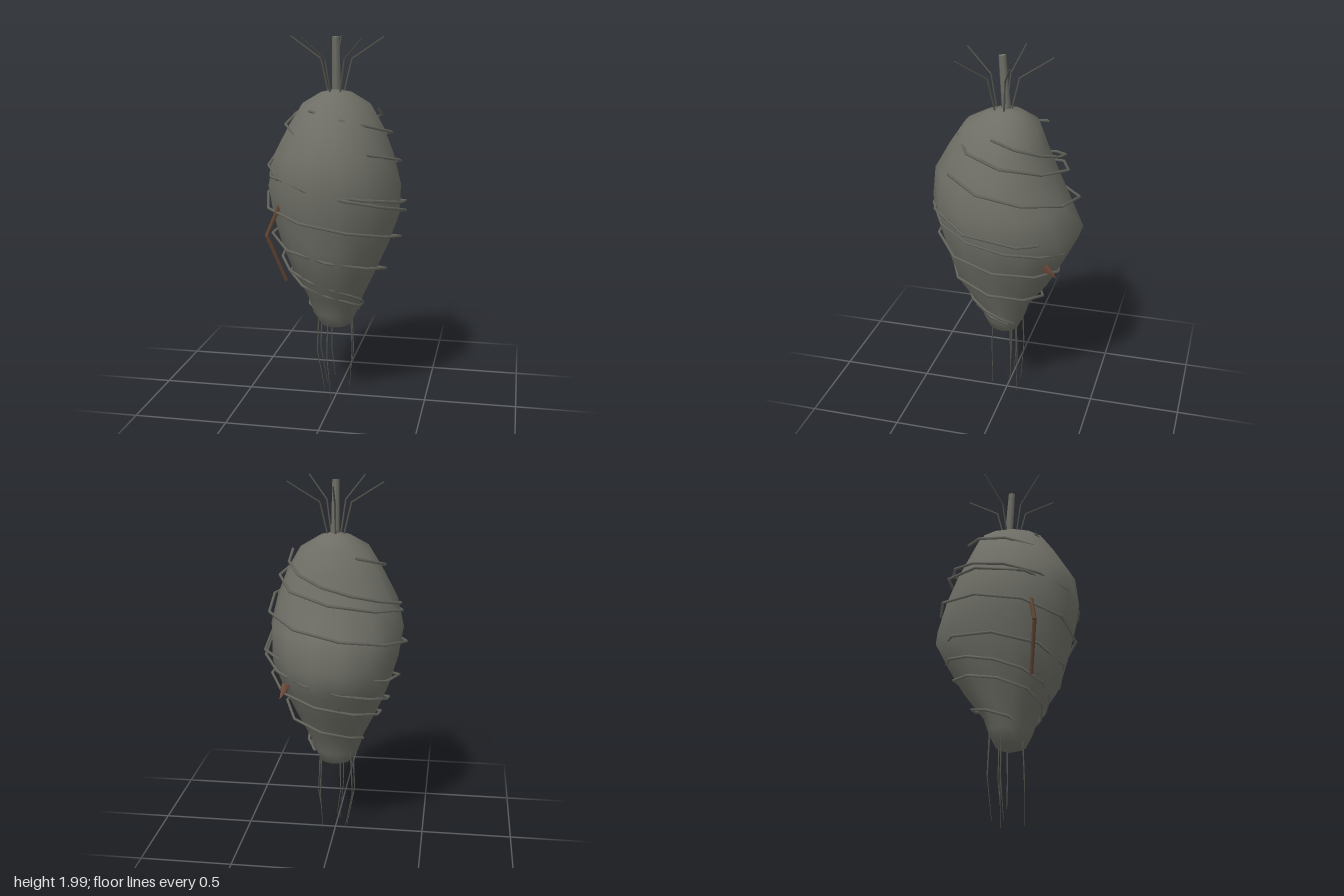
import * as THREE from 'three';

const mat = (name, color, side = THREE.FrontSide) => {
  const m = new THREE.MeshStandardMaterial({ color, side });
  m.name = name;
  return m;
};

// Linear lookup in rows sorted by rising first value
function lookup(rows, y, k) {
  let i = 1;
  while (i < rows.length - 1 && rows[i][0] < y) i++;
  const [a, b] = [rows[i - 1], rows[i]];
  return THREE.MathUtils.lerp(a[k], b[k], (y - a[0]) / (b[0] - a[0]));
}

// Body cross-sections: height, reach to -x, +x, +z, -z
const SECTIONS = [
  [0.405, 0, 0, 0, 0],
  [0.435, 0.085, 0.08, 0.095, 0.065],
  [0.505, 0.13, 0.115, 0.13, 0.10],
  [0.60, 0.16, 0.15, 0.165, 0.13],
  [0.75, 0.235, 0.22, 0.275, 0.24],
  [0.91, 0.30, 0.29, 0.32, 0.33],
  [1.07, 0.345, 0.345, 0.36, 0.41],
  [1.23, 0.37, 0.35, 0.39, 0.335],
  [1.39, 0.335, 0.31, 0.375, 0.265],
  [1.53, 0.26, 0.255, 0.295, 0.21],
  [1.65, 0.185, 0.185, 0.215, 0.17],
  [1.71, 0.085, 0.085, 0.10, 0.085],
  [1.73, 0, 0, 0, 0],
];

// Distance of the wrapping strands from the axis
const WRAP = [[0.5, 0.12], [0.62, 0.185], [0.76, 0.275], [0.94, 0.35], [1.13, 0.39],
  [1.25, 0.39], [1.36, 0.355], [1.5, 0.295], [1.64, 0.225]];

function bodyGeometry(sides = 14) {
  const pos = [], index = [];
  SECTIONS.forEach(([y, left, right, front, back], i) => {
    for (let j = 0; j < sides; j++) {
      const a = ((j + 0.5) / sides) * Math.PI * 2;
      const s = Math.sin(a), c = Math.cos(a);
      pos.push(s * (s < 0 ? left : right), y, c * (c > 0 ? front : back) * 1.02);
      if (i === SECTIONS.length - 1) continue;
      const p = i * sides + j, q = i * sides + (j + 1) % sides;
      index.push(p, q, p + sides, q, q + sides, p + sides);
    }
  });
  const g = new THREE.BufferGeometry();
  g.setAttribute('position', new THREE.Float32BufferAttribute(pos, 3));
  g.setIndex(index);
  g.computeVertexNormals();
  return g;
}

// Straight tapered rod between two points
function rod(a, b, r0, r1, sides, material) {
  const from = new THREE.Vector3(...a), to = new THREE.Vector3(...b);
  const dir = to.clone().sub(from);
  const m = new THREE.Mesh(new THREE.CylinderGeometry(r1, r0, dir.length(), sides), material);
  m.position.copy(from).add(to).multiplyScalar(0.5);
  m.quaternion.setFromUnitVectors(new THREE.Vector3(0, 1, 0), dir.normalize());
  return m;
}

// Chain of rods through several points
function chain(name, points, r0, r1, sides, material) {
  const g = new THREE.Group();
  g.name = name;
  const n = points.length - 1;
  const radius = i => THREE.MathUtils.lerp(r0, r1, i / n);
  for (let i = 0; i < n; i++) {
    g.add(rod(points[i], points[i + 1], radius(i), radius(i + 1), sides, material));
  }
  return g;
}

// Angular helix that winds down around the body
function strand(startDegrees, turns, material) {
  const curve = new THREE.Curve();
  curve.getPoint = t => {
    const a = THREE.MathUtils.degToRad(startDegrees) + t * turns * Math.PI * 2;
    const y = 1.63 - 1.12 * t;
    const r = lookup(WRAP, y, 1);
    return new THREE.Vector3(Math.sin(a) * r, y, Math.cos(a) * r);
  };
  curve.getPointAt = t => curve.getPoint(t);
  curve.getTangentAt = t => curve.getTangent(t);
  const m = new THREE.Mesh(new THREE.TubeGeometry(curve, 26, 0.008, 5), material);
  m.name = 'wrappingStrand';
  return m;
}

export function createModel() {
  const model = new THREE.Group();
  model.name = 'hangingCocoon';
  const husk = mat('husk grey', 0x6e6e66);
  const silk = mat('silk grey', 0x66665f, THREE.DoubleSide);
  const thread = mat('thread grey', 0x55554f);
  const bark = mat('bark brown', 0x5f4433);
  const thornBrown = mat('thorn brown', 0x704c3c);

  const body = new THREE.Mesh(bodyGeometry(), husk);
  body.name = 'body';
  model.add(body);

  // Stem
  const stem = chain('stem', [[0, 1.7, 0], [0, 1.86, 0.012], [0, 2, 0.022]], 0.025, 0.02, 6, husk);
  model.add(stem);

  // Wrapping strands
  [[85, 2.1], [-27, 3], [214, 2.7]].forEach(([a, turns]) => model.add(strand(a, turns, silk)));

  // Anchor threads spreading at the top
  [[-0.02, -0.24], [0.24, -0.08], [0.17, 0.22], [-0.13, 0.245], [-0.255, -0.04]].forEach(([x, z]) => {
    const at = (f, y) => [x * f, y, 0.02 + (z - 0.02) * f];
    model.add(chain('anchorThread', [at(0.17, 1.71), at(0.33, 1.885), at(1, 1.998)], 0.005, 0.004, 4, thread));
  });

  // Loose threads below: x, z, lower end
  [[0.075, -0.08, 0.03], [-0.035, 0.1, 0.01], [-0.11, 0, 0.03], [-0.035, -0.045, 0.11],
    [-0.105, -0.075, 0.04], [0.09, -0.045, 0.13]].forEach(([x, z, end]) => {
    model.add(chain('hangingThread', [[x * 0.9, 0.5, z * 0.9], [x, 0.26, z],
      [x * 0.7 + 0.01, end, z * 0.9]], 0.005, 0.0015, 4, thread));
  });

  // Bent twig caught at the side
  model.add(chain('twig', [[-0.26, 1.135, 0.235], [-0.32, 0.98, 0.275], [-0.23, 0.725, 0.22]],
    0.012, 0.01, 6, bark));

  // Thorn at the back
  const thorn = rod([0.23, 0.955, -0.265], [0.25, 0.905, -0.335], 0.03, 0, 4, thornBrown);
  thorn.name = 'thorn';
  model.add(thorn);

  return model;
}
